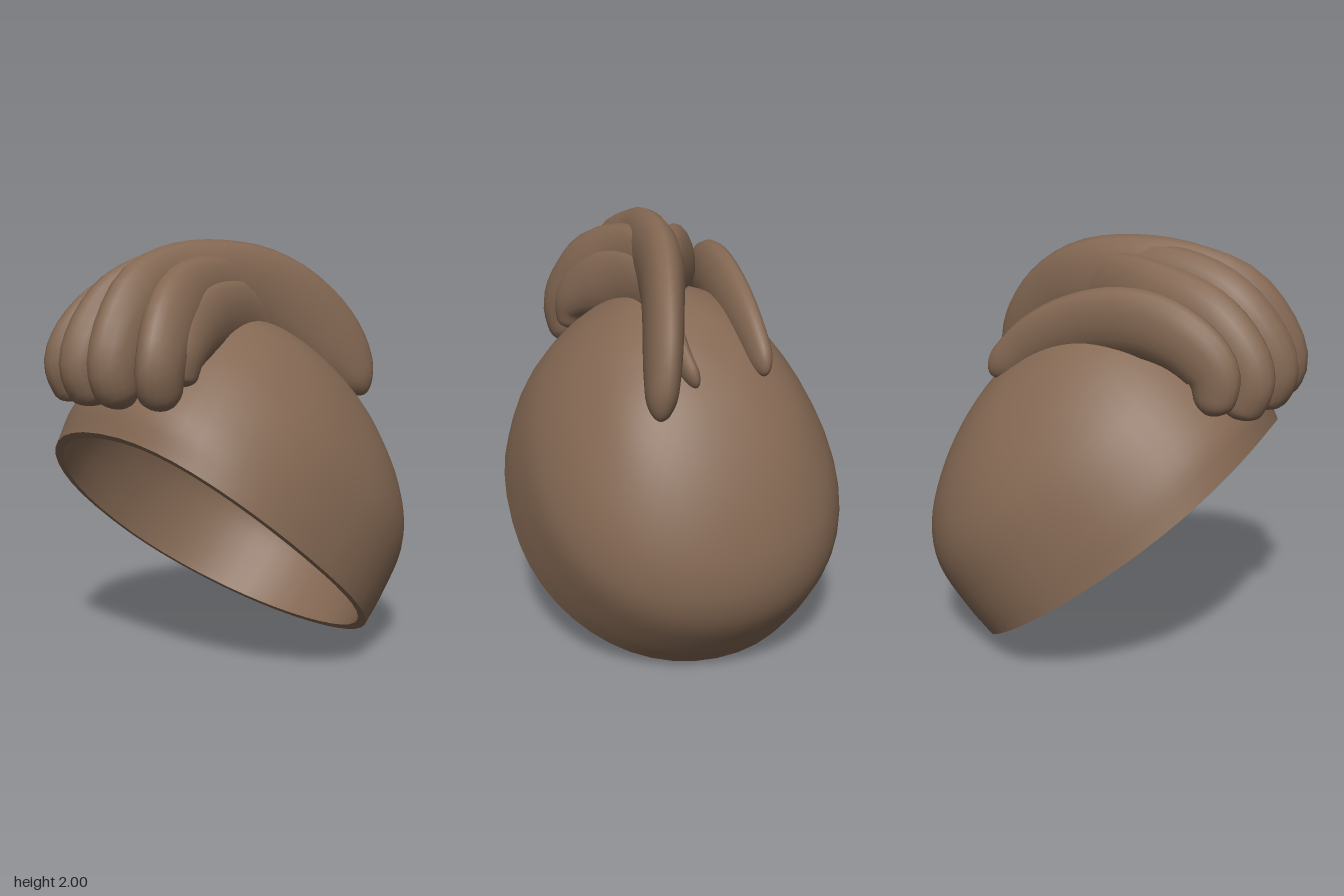
import * as THREE from 'three';
import { mergeVertices } from 'three/addons/utils/BufferGeometryUtils.js';

const V = (x, y, z) => new THREE.Vector3(x, y, z);

// Skin a list of closed rings (arrays of Vector3) into a smooth surface
function loft(rings) {
  const n = rings[0].length, index = [];
  for (let j = 0; j < rings.length - 1; j++) {
    for (let i = 0; i < n; i++) {
      const k = (i + 1) % n, a = j * n, b = a + n;
      index.push(a + i, a + k, b + k, a + i, b + k, b + i);
    }
  }
  const g = new THREE.BufferGeometry().setFromPoints(rings.flat());
  g.setIndex(index);
  const merged = mergeVertices(g, 1e-5);
  merged.computeVertexNormals();
  return merged;
}

// Cap axes: centre of the opening, direction to the brow, direction to the crown
const CENTRE = V(0, 0.57, 0.085), BROW = V(0, 0.64, 0.77), CROWN = V(0, 0.77, -0.64);

// Cap sections: height, front reach, back reach, half width
const SECTIONS = [
  [0, 0.89, -0.89, 0.78], [0.17, 0.935, -0.905, 0.77], [0.41, 0.895, -0.89, 0.735],
  [0.6, 0.835, -0.79, 0.65], [0.76, 0.745, -0.6, 0.535], [0.89, 0.62, -0.36, 0.4],
  [0.98, 0.44, -0.09, 0.22], [1.01, 0.16, 0.16, 0],
];
const reach = new THREE.CatmullRomCurve3(SECTIONS.map(s => V(s[0], s[1], s[2])), false, 'catmullrom');
const width = new THREE.CatmullRomCurve3(SECTIONS.map(s => V(s[3], s[0], 0)), false, 'catmullrom');

function capRing(t, inset) {
  const r = reach.getPoint(t), shrink = 1 - inset / 0.8;
  const w = width.getPoint(t).x * shrink;
  const mid = (r.y + r.z) / 2, half = (r.y - r.z) / 2 * shrink;
  return Array.from({ length: 48 }, (_, i) => {
    const a = i / 48 * Math.PI * 2;
    // rounder at the back, squarer towards the brow
    const power = Math.cos(a) > 0 ? 0.88 : 0.96;
    const soft = v => Math.sign(v) * Math.abs(v) ** power;
    const s = soft(Math.sin(a)), c = soft(Math.cos(a));
    // the rim dips a little at the sides, and the cap narrows to the front higher up
    const dip = 0.048 * s * s * (1 + 0.5 * c) * Math.max(0, 1 - r.x) ** 4;
    return CENTRE.clone().addScaledVector(BROW, mid + half * c)
      .addScaledVector(CROWN, r.x * shrink - dip).add(V(w * s * (1 - 0.16 * r.x * c), 0, 0));
  });
}

// Lock of hair: a rounded tube along points [x, y, z, half width, half depth]
function lock(points) {
  const path = new THREE.CatmullRomCurve3(points.map(p => V(p[0], p[1], p[2])), false, 'catmullrom');
  const size = new THREE.CatmullRomCurve3(points.map((p, i) => V(p[3], p[4], i * 0.1)), false, 'catmullrom');
  const rings = [], steps = 40, cap = 0.06;
  for (let j = 0; j <= steps; j++) {
    const t = (1 - Math.cos(j / steps * Math.PI)) / 2;
    const p = path.getPoint(t), r = size.getPoint(t), T = path.getTangent(t);
    const N = p.clone().sub(V(p.x * 0.7, 1.1, 0));
    N.addScaledVector(T, -N.dot(T)).normalize();
    const L = T.clone().cross(N);
    const e = Math.min(1, Math.min(t, 1 - t) / cap);
    const round = Math.sqrt(Math.max(0, 1 - (1 - e) ** 2));
    rings.push(Array.from({ length: 16 }, (_, i) => {
      const a = i / 16 * Math.PI * 2;
      return p.clone().addScaledVector(N, r.y * round * Math.cos(a))
        .addScaledVector(L, r.x * round * Math.sin(a));
    }));
  }
  return loft(rings);
}

// Locks run from the fringe tip over the top to the back
const LOCKS = {
  outerRightLock: [
    [-0.385, 1.29, 0.6, 0.06, 0.08], [-0.38, 1.48, 0.59, 0.075, 0.13], [-0.35, 1.61, 0.43, 0.085, 0.15],
    [-0.3, 1.66, 0.2, 0.08, 0.16], [-0.265, 1.63, -0.05, 0.07, 0.15], [-0.25, 1.53, -0.3, 0.06, 0.12],
    [-0.255, 1.35, -0.53, 0.045, 0.07]],
  rightLock: [
    [-0.28, 1.26, 0.68, 0.08, 0.09], [-0.28, 1.46, 0.72, 0.09, 0.13], [-0.23, 1.65, 0.53, 0.1, 0.17],
    [-0.13, 1.73, 0.24, 0.09, 0.18], [0.0, 1.73, 0, 0.08, 0.18], [0.09, 1.64, -0.17, 0.06, 0.12]],
  middleLock: [
    [-0.07, 1.26, 0.73, 0.1, 0.09], [-0.08, 1.46, 0.77, 0.11, 0.14], [-0.08, 1.68, 0.58, 0.11, 0.18],
    [-0.03, 1.78, 0.33, 0.1, 0.18], [0.03, 1.77, 0.08, 0.09, 0.18], [0.1, 1.69, -0.17, 0.08, 0.16],
    [0.16, 1.58, -0.35, 0.06, 0.1]],
  crestLock: [
    [0.12, 1.26, 0.73, 0.09, 0.09], [0.12, 1.46, 0.77, 0.11, 0.14], [0.07, 1.7, 0.59, 0.11, 0.18],
    [0.03, 1.79, 0.35, 0.1, 0.19], [0.05, 1.79, 0.1, 0.11, 0.21], [0.1, 1.74, -0.15, 0.105, 0.22],
    [0.18, 1.62, -0.37, 0.09, 0.21], [0.25, 1.45, -0.54, 0.08, 0.17], [0.305, 1.24, -0.66, 0.06, 0.08]],
  leftLock: [
    [0.29, 1.26, 0.66, 0.09, 0.09], [0.32, 1.46, 0.68, 0.095, 0.13], [0.24, 1.66, 0.53, 0.1, 0.17],
    [0.14, 1.74, 0.3, 0.09, 0.18], [0.1, 1.72, 0.05, 0.07, 0.18], [0.12, 1.6, -0.2, 0.06, 0.14],
    [0.125, 1.46, -0.42, 0.045, 0.09], [0.095, 1.34, -0.56, 0.035, 0.06]],
  outerLeftLock: [
    [0.32, 1.36, 0.57, 0.06, 0.07], [0.32, 1.5, 0.54, 0.07, 0.11], [0.25, 1.61, 0.4, 0.08, 0.15],
    [0.16, 1.66, 0.15, 0.07, 0.16], [0.11, 1.63, -0.1, 0.07, 0.15], [0.16, 1.54, -0.3, 0.06, 0.11]],
};

export function createModel() {
  const group = new THREE.Group();
  group.name = 'hair';
  const brown = new THREE.MeshStandardMaterial({ color: 0x846853 });
  brown.name = 'hairBrown';
  const add = (name, geometry) => {
    const mesh = new THREE.Mesh(geometry, brown);
    mesh.name = name;
    group.add(mesh);
  };

  // Hollow cap: outside, inside and the lip joining them
  const steps = Array.from({ length: 29 }, (_, i) => i / 28);
  add('capOutside', loft(steps.map(t => capRing(t, 0))));
  add('capInside', loft(steps.map(t => capRing(1 - t, 0.04))));
  add('capLip', loft([capRing(0, 0.04), capRing(0, 0)]));

  for (const [name, points] of Object.entries(LOCKS)) add(name, lock(points));
  return group;
}
